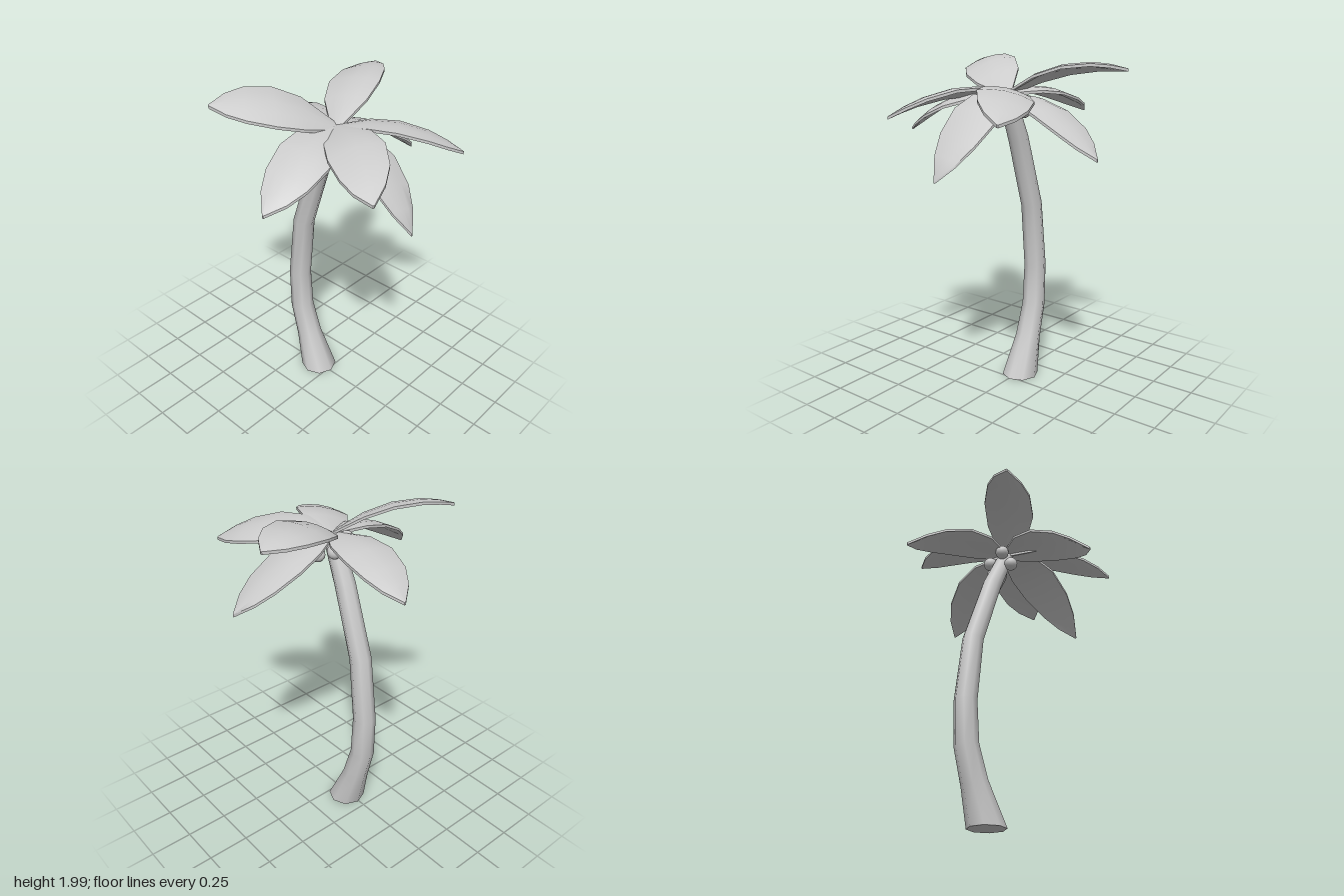
import * as THREE from 'three';
import { toCreasedNormals } from 'three/addons/utils/BufferGeometryUtils.js';

const material = new THREE.MeshStandardMaterial({ color: 0xcccccc });

// Trunk rings: x, y, radius, tilt
const RINGS = [
  [-0.09, 0, 0.113, 0], [-0.176, 0.235, 0.078, 0.3], [-0.235, 0.44, 0.072, 0.16],
  [-0.247, 0.7, 0.068, -0.03], [-0.203, 1.1, 0.064, -0.2], [-0.065, 1.52, 0.06, -0.35],
  [0.05, 1.78, 0.05, -0.4],
];

// Fronds: tip x, y, z, arch height, roll
const FRONDS = [
  [-0.2, 1.93, -0.64, 0.085, 0.15],
  [0.1, 1.48, -0.64, 0.08, 0],
  [0.62, 1.69, -0.39, 0.08, 0.2],
  [0.62, 1.37, 0.03, 0.125, 0.2],
  [0.62, 1.68, 0.36, 0.08, -0.2],
  [0.155, 1.56, 0.64, 0.09, 0.2],
  [-0.36, 1.95, 0.51, 0.082, 0.33],
  [-0.63, 1.66, -0.11, 0.078, 0],
];

// Frond outline: position along the rib, half width, sideways bow
const OUTLINE = [
  [0, 0.03, 0], [0.26, 0.125, -0.01], [0.49, 0.15, -0.016],
  [0.72, 0.127, -0.013], [0.87, 0.08, -0.006], [1, 0.004, 0],
];
const CROWN = new THREE.Vector3(0.05, 1.795, -0.01);

function trunkGeometry() {
  const geo = new THREE.CylinderGeometry(1, 1, 1, 8, RINGS.length - 1);
  const pos = geo.attributes.position;
  for (let i = 0; i < pos.count; i++) {
    const [x, y, r, tilt] = RINGS[Math.round((pos.getY(i) + 0.5) * (RINGS.length - 1))];
    const px = pos.getX(i) * r;
    pos.setXYZ(i, x + px * Math.cos(tilt), y + px * Math.sin(tilt), -0.008 + pos.getZ(i) * r);
  }
  return toCreasedNormals(geo, 0.9);
}

// Thin arched blade lofted through closed cross-sections
function frondGeometry([tx, ty, tz, arch, roll]) {
  const across = [-1, -0.5, 0, 0.5, 1];
  const thickness = 0.016;
  const along = new THREE.Vector3(tx - CROWN.x, 0, tz - CROWN.z);
  const dir = along.clone().normalize();
  const side = new THREE.Vector3(-dir.z, 0, dir.x);
  const points = [], index = [];
  for (const [t, half, bow] of OUTLINE) {
    const y = CROWN.y + (ty - CROWN.y) * t + 4 * arch * t * (1 - t);
    const add = (a, drop) => {
      const w = a * half;
      const p = CROWN.clone().addScaledVector(along, t).addScaledVector(side, w + bow);
      points.push(p.x, y + w * roll - 0.025 * a * a * (half / 0.15) - drop, p.z);
    };
    across.forEach((a) => add(a, 0));
    [...across].reverse().forEach((a) => add(a, thickness));
  }
  const n = across.length * 2;
  for (let k = 0; k < OUTLINE.length - 1; k++) {
    for (let j = 0; j < n; j++) {
      const a = k * n + j, b = k * n + (j + 1) % n;
      index.push(a, b, a + n, b, b + n, a + n);
    }
  }
  // End caps
  const last = (OUTLINE.length - 1) * n;
  for (let j = 0; j < across.length - 1; j++) {
    const a = j, b = j + 1, c = n - 2 - j, d = n - 1 - j;
    index.push(a, c, b, a, d, c);
    index.push(last + a, last + b, last + c, last + a, last + c, last + d);
  }
  const geo = new THREE.BufferGeometry();
  geo.setAttribute('position', new THREE.Float32BufferAttribute(points, 3));
  geo.setIndex(index);
  return toCreasedNormals(geo, 0.8);
}

export function createModel() {
  const model = new THREE.Group();
  model.name = 'palmTree';
  const add = (name, geo, parent = model) => {
    const mesh = new THREE.Mesh(geo, material);
    mesh.name = name;
    parent.add(mesh);
    return mesh;
  };

  add('trunk', trunkGeometry());

  const fronds = new THREE.Group();
  fronds.name = 'fronds';
  FRONDS.forEach((f, i) => add(`frond${i + 1}`, frondGeometry(f), fronds));
  model.add(fronds);

  // Coconuts clustered under the crown
  const coconuts = new THREE.Group();
  coconuts.name = 'coconuts';
  const nut = new THREE.SphereGeometry(0.042, 16, 12);
  [[-0.02, 1.765, 0.04], [-0.037, 1.718, -0.06], [0.035, 1.69, 0.06], [0.035, 1.695, -0.12]]
    .forEach((p, i) => add(`coconut${i + 1}`, nut, coconuts).position.set(...p));
  model.add(coconuts);

  return model;
}
